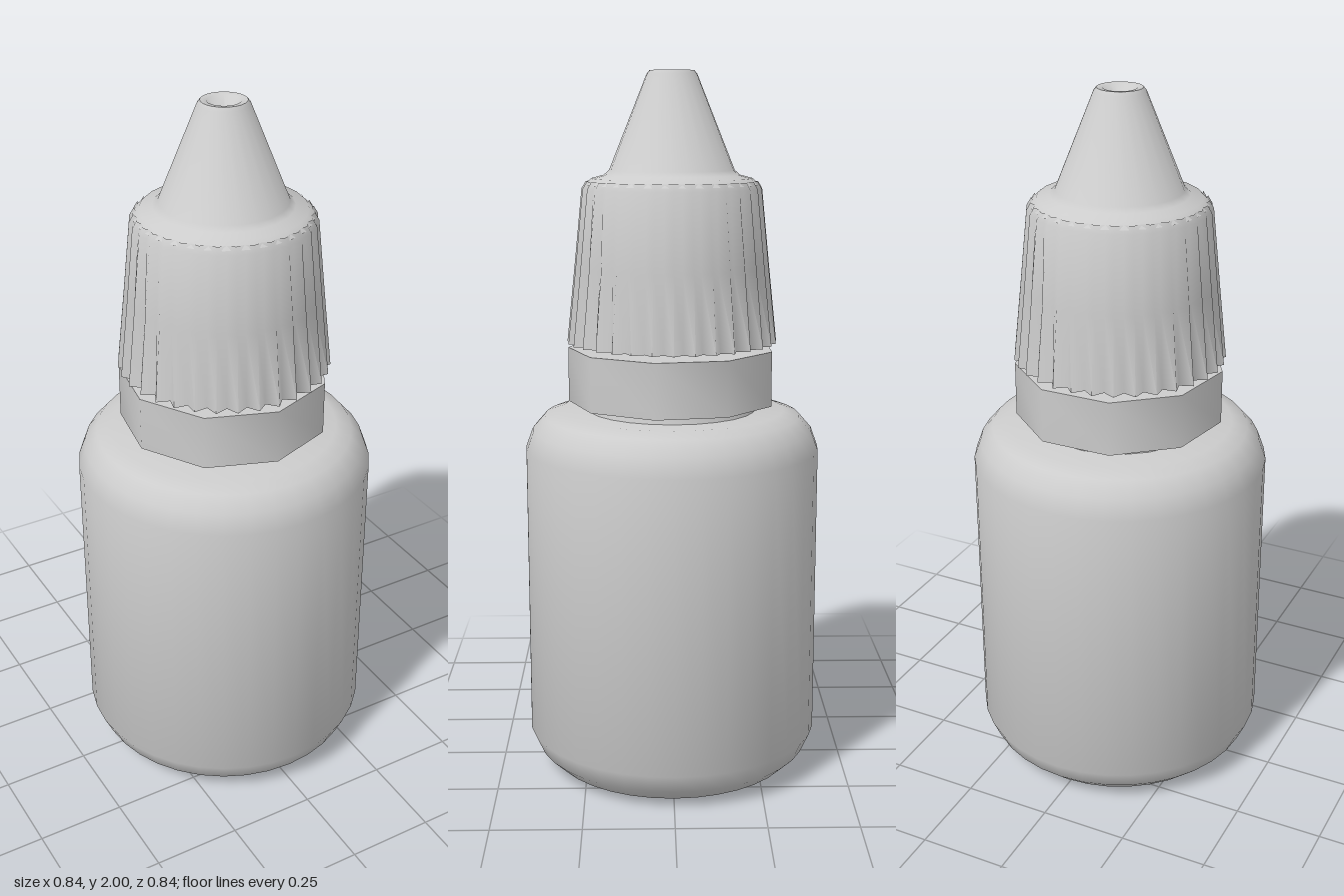
import * as THREE from 'three';
import { toCreasedNormals } from 'three/addons/utils/BufferGeometryUtils.js';

const material = new THREE.MeshStandardMaterial({ color: 0xcccccc });

// Revolve a [radius, height] profile, listed from bottom to top.
function revolve(profile, sides) {
  return new THREE.LatheGeometry(profile.map(([r, y]) => new THREE.Vector2(r, y)), sides);
}

function part(name, geometry, crease) {
  const mesh = new THREE.Mesh(toCreasedNormals(geometry, crease), material);
  mesh.name = name;
  return mesh;
}

// Tapered cap wall: every second column is pulled inward, deeper toward the bottom.
function ribbedSkirt(ribs) {
  const bottom = 1.25, top = 1.68;
  const geometry = revolve([[0.297, bottom], [0.274, 1.465], [0.252, top], [0.24, 1.7]], ribs * 2);
  const p = geometry.attributes.position;
  const rows = 4;
  for (let i = 0; i < p.count; i++) {
    const column = Math.floor(i / rows);
    if (column % 2 === 0) continue;
    const t = Math.min(1, (p.getY(i) - bottom) / (top - bottom));
    const r = Math.hypot(p.getX(i), p.getZ(i));
    const scale = (r - THREE.MathUtils.lerp(0.028, 0.008, t)) / r;
    p.setX(i, p.getX(i) * scale);
    p.setZ(i, p.getZ(i) * scale);
  }
  return geometry;
}

export function createModel() {
  const model = new THREE.Group();

  // Bottle body with rounded base and shoulder
  model.add(part('bottle', revolve([
    [0, 0], [0.31, 0], [0.355, 0.017], [0.395, 0.055], [0.42, 0.11],
    [0.42, 0.945], [0.4, 1.0], [0.365, 1.04], [0.32, 1.055], [0, 1.055],
  ], 36), 0.8));

  // Short neck, hidden mostly inside the collar
  model.add(part('neck', revolve([[0.24, 1.05], [0.235, 1.07], [0.22, 1.075], [0.22, 1.22]], 24), 0.8));

  // Coarse nine-sided collar below the cap
  model.add(part('collar', revolve([
    [0.21, 1.075], [0.295, 1.078], [0.295, 1.233], [0, 1.235],
  ], 9), 0.8));

  // Cap: ribbed skirt, underside, and nozzle with a small hollow at its tip
  const cap = new THREE.Group();
  cap.name = 'cap';
  cap.add(part('ribbedSkirt', ribbedSkirt(32), 1.6));
  cap.add(part('capUnderside', revolve([[0, 1.252], [0.27, 1.252]], 32), 0.8));
  cap.add(part('nozzle', revolve([
    [0.243, 1.69], [0.225, 1.708], [0.19, 1.717], [0.175, 1.73],
    [0.07, 1.99], [0.062, 2.0], [0.045, 1.998], [0.02, 1.97], [0, 1.97],
  ], 24), 0.9));
  model.add(cap);

  return model;
}
